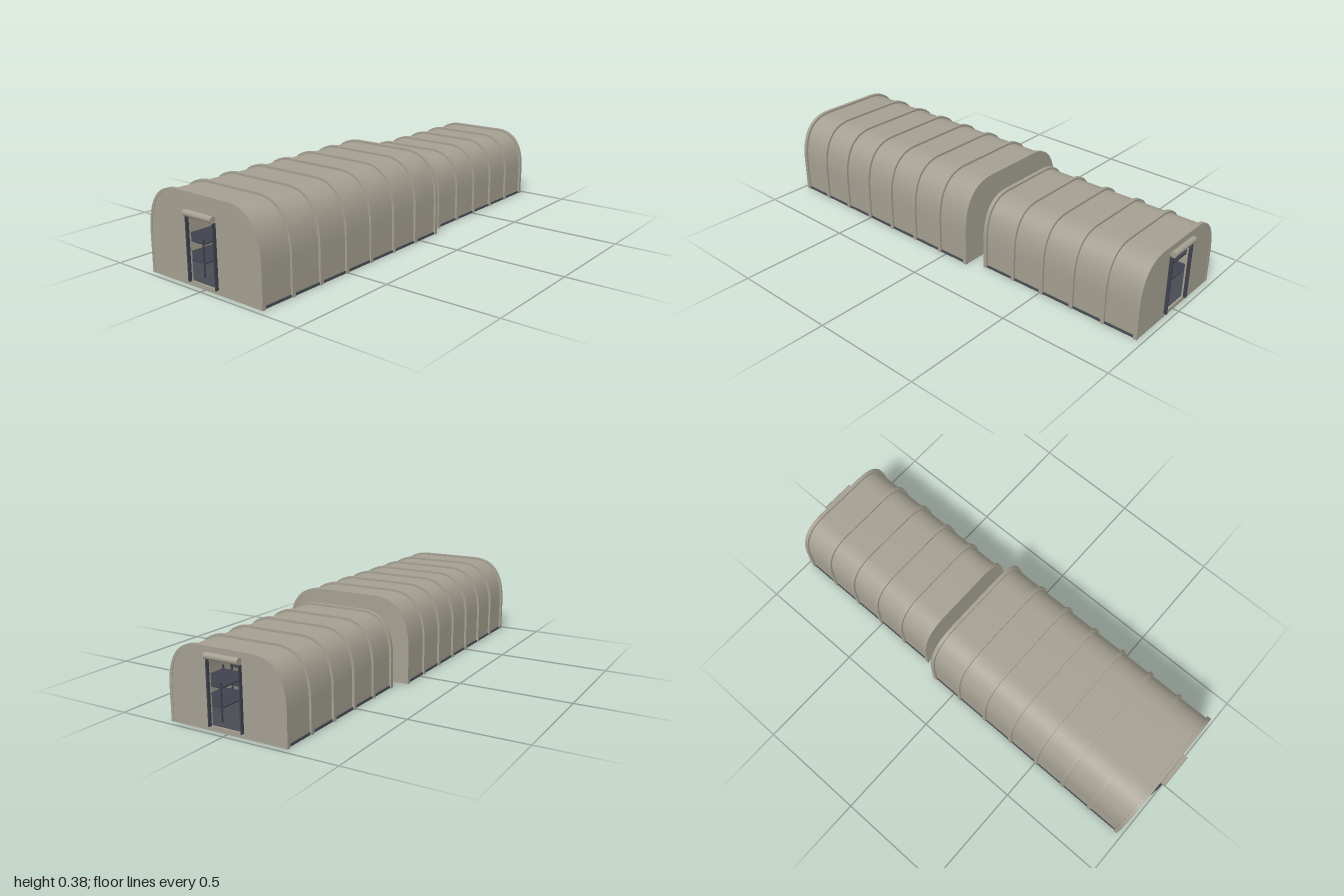
import * as THREE from 'three';
import { toCreasedNormals } from 'three/addons/utils/BufferGeometryUtils.js';

const mat = (name, color) => Object.assign(new THREE.MeshStandardMaterial({ color }), { name });

// Rounded arch outline, from the right foot over the roof to the left foot
function archPoints(w, h, inset) {
  const half = new THREE.QuadraticBezierCurve(
    new THREE.Vector2(w - inset, h * 0.4),
    new THREE.Vector2(w - inset, h - inset),
    new THREE.Vector2(w * 0.45, h - inset)
  ).getPoints(16);
  half.unshift(new THREE.Vector2(w - inset, 0));
  const mirrored = half.map(p => new THREE.Vector2(-p.x, p.y)).reverse();
  return [...half, ...mirrored];
}

// Extrude a z-y shape along x between x0 and x1
function extrudeX(shape, x0, x1) {
  const g = new THREE.ExtrudeGeometry(shape, { depth: x1 - x0, bevelEnabled: false });
  g.rotateY(Math.PI / 2);
  g.translate(x0, 0, 0);
  return toCreasedNormals(g, 0.5);
}

function archBand(w, h, outer, inner, x0, x1) {
  const pts = [...archPoints(w, h, outer), ...archPoints(w, h, inner).reverse()];
  return extrudeX(new THREE.Shape(pts), x0, x1);
}

export function createModel() {
  const canvas = mat('canvas', 0xa49f91);
  const floorGrey = mat('floorGrey', 0x484c53);
  const frameGrey = mat('frameGrey', 0x3f434d);
  const model = new THREE.Group();
  model.name = 'tentPair';

  function add(parent, name, geometry, material) {
    const mesh = new THREE.Mesh(geometry, material);
    mesh.name = name;
    parent.add(mesh);
    return mesh;
  }
  function box(parent, name, sx, sy, sz, x, y, z, material) {
    add(parent, name, new THREE.BoxGeometry(sx, sy, sz), material).position.set(x, y, z);
  }

  // One tent from x0 to x1; side is the end (+1 or -1) with the doorway
  function tent(name, x0, x1, w, h, ribs, side) {
    const g = new THREE.Group();
    g.name = name;
    model.add(g);
    const ribWidth = 0.017;

    // Canvas skin and the raised ribs
    add(g, 'shell', archBand(w, h, 0.01, 0.016, x0 + 0.004, x1 - 0.004), canvas);
    for (let i = 0; i < ribs; i++) {
      const x = x0 + (x1 - x0 - ribWidth) * i / (ribs - 1);
      add(g, 'rib', archBand(w, h, 0, 0.012, x, x + ribWidth), canvas);
    }

    // Floor slab, showing as a dark rail along the foot
    box(g, 'floor', x1 - x0 - 0.006, 0.01, 2 * w - 0.01, (x0 + x1) / 2, 0.006, 0, floorGrey);

    // End walls: one plain, one with the doorway
    for (const end of [-1, 1]) {
      const wall = new THREE.Shape(archPoints(w, h, 0.008));
      if (end === side) {
        wall.holes.push(new THREE.Path([
          new THREE.Vector2(-0.073, 0.02), new THREE.Vector2(-0.073, 0.29),
          new THREE.Vector2(0.073, 0.29), new THREE.Vector2(0.073, 0.02)
        ]));
      }
      const a = end > 0 ? x1 - 0.009 : x0 + 0.002;
      add(g, 'endWall', extrudeX(wall, a, a + 0.007), canvas);
    }

    // Door posts, sill and rolled-up flap
    const doorX = side > 0 ? x1 : x0;
    for (const s of [-1, 1]) {
      box(g, 'doorPost', 0.014, 0.262, 0.006, doorX + side * 0.006, 0.151, s * 0.0755, frameGrey);
    }
    box(g, 'doorSill', 0.006, 0.004, 0.146, doorX - side * 0.004, 0.018, 0, canvas);
    const flap = add(g, 'rolledFlap', new THREE.CylinderGeometry(0.0135, 0.0135, 0.156, 24), canvas);
    flap.rotation.x = Math.PI / 2;
    flap.position.set(doorX + side * 0.0115, 0.297, 0);

    // Two-tier bunks along both sides
    const count = Math.floor((x1 - x0) / 0.25);
    const pitch = (x1 - x0 - 0.08) / count;
    for (let i = 0; i < count; i++) {
      const x = x0 + 0.04 + pitch * (i + 0.5);
      const length = pitch * 0.8;
      for (const s of [-1, 1]) {
        for (const y of [0.071, 0.15]) {
          box(g, 'bunk', length, 0.006, 0.15, x, y, s * 0.144, frameGrey);
        }
        for (const e of [-1, 1]) {
          for (const z of [0.077, 0.214]) {
            box(g, 'bunkPost', 0.006, 0.16, 0.006, x + e * (length / 2 - 0.003), 0.09, s * z, frameGrey);
          }
        }
      }
    }
  }

  tent('largeTent', -0.977, 0.127, 0.31, 0.376, 8, -1);
  tent('smallTent', 0.195, 0.975, 0.272, 0.33, 6, 1);
  return model;
}
